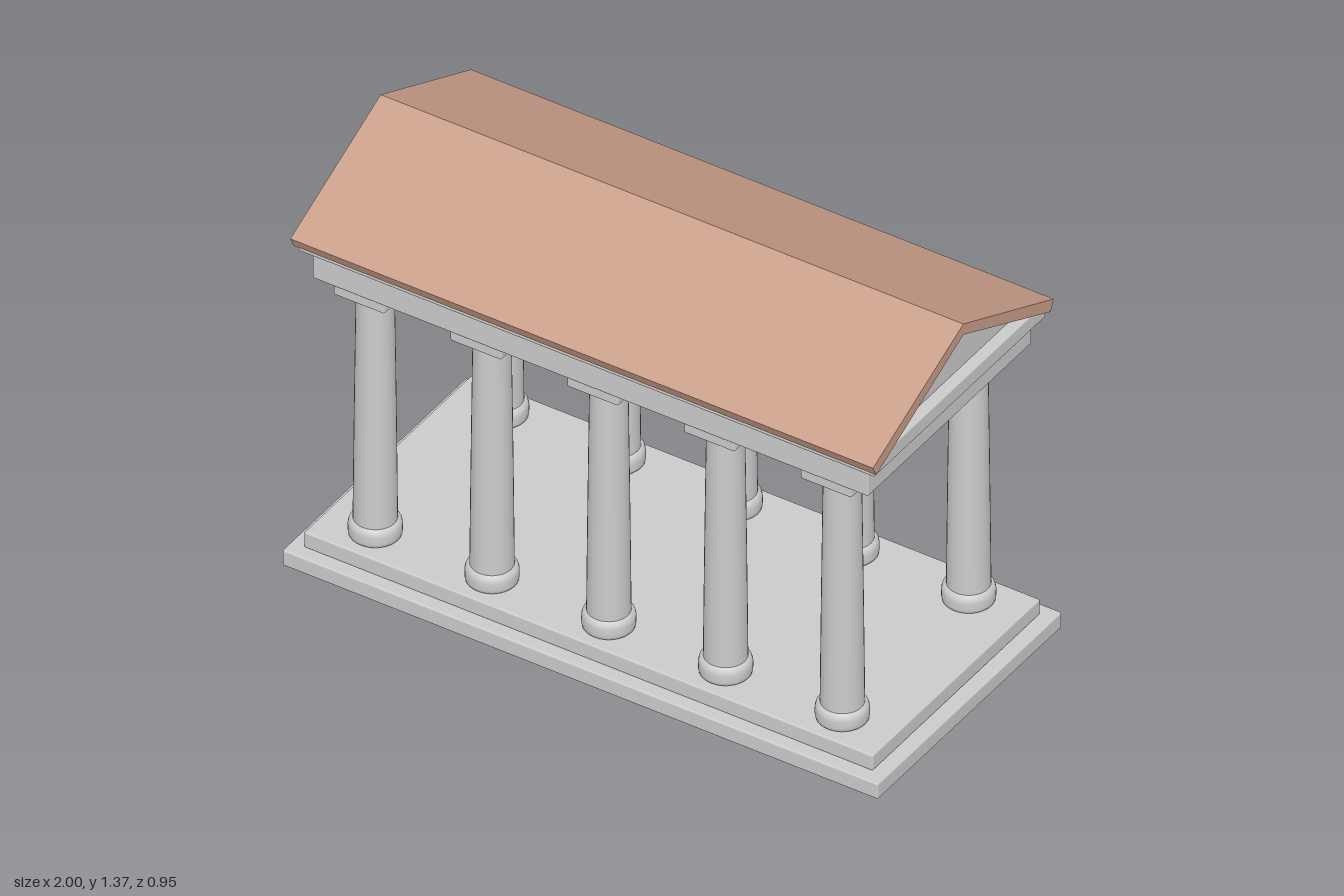
import * as THREE from 'three';
import { RoundedBoxGeometry } from 'three/addons/geometries/RoundedBoxGeometry.js';

const stone = new THREE.MeshStandardMaterial({ color: 0xcccccc });
const tile = new THREE.MeshStandardMaterial({ color: 0xc99e88 });

function add(parent, name, geometry, material = stone) {
  const mesh = new THREE.Mesh(geometry, material);
  mesh.name = name;
  parent.add(mesh);
  return mesh;
}

// Softly edged block from y0 to y1, with half sizes in x and z
function block(parent, name, hx, hz, y0, y1) {
  const geometry = new RoundedBoxGeometry(hx * 2, y1 - y0, hz * 2, 2, 0.006);
  add(parent, name, geometry).position.y = (y0 + y1) / 2;
}

// Cross-section in (z, y), extruded along x and centred
function gableSolid(points, length) {
  const shape = new THREE.Shape(points.map(([z, y]) => new THREE.Vector2(z, y)));
  const geometry = new THREE.ExtrudeGeometry(shape, { depth: length, bevelEnabled: false });
  return geometry.translate(0, 0, -length / 2).rotateY(Math.PI / 2);
}

function createColumn() {
  const column = new THREE.Group();
  column.name = 'column';

  // Round cushion base
  const r = 0.078, y0 = 0.108, y1 = 0.169;
  const cushion = [[0, y0], [r - 0.008, y0], [r - 0.002, y0 + 0.006], [r, y0 + 0.016], [r, y1 - 0.022],
    [r - 0.003, y1 - 0.01], [r - 0.01, y1 - 0.002], [r - 0.016, y1], [0, y1]];
  add(column, 'columnBase', new THREE.LatheGeometry(cushion.map(p => new THREE.Vector2(...p)), 32));

  // Shaft with a gentle taper
  const shaft = [];
  for (let i = 0; i <= 8; i++) {
    const t = i / 8;
    shaft.push(new THREE.Vector2(0.064 - 0.007 * t - 0.002 * t * t, 0.165 + 0.81 * t));
  }
  add(column, 'columnShaft', new THREE.LatheGeometry(shaft, 32));

  // Square capital
  block(column, 'capital', 0.086, 0.086, 0.973, 1.014);
  return column;
}

export function createModel() {
  const temple = new THREE.Group();
  temple.name = 'temple';

  // Stepped platform
  block(temple, 'lowerStep', 1, 0.477, 0, 0.055);
  block(temple, 'upperStep', 0.955, 0.434, 0.055, 0.11);

  // Two rows of five columns
  const column = createColumn();
  for (const z of [-0.327, 0.327]) {
    for (let i = -2; i <= 2; i++) {
      const copy = column.clone();
      copy.position.set(i * 0.392, 0, z);
      temple.add(copy);
    }
  }

  // Beam and cornice
  block(temple, 'beam', 0.933, 0.424, 1.012, 1.108);
  block(temple, 'cornice', 0.967, 0.445, 1.108, 1.161);

  // Gable filling under the roof
  add(temple, 'pediment', gableSolid([[-0.385, 1.158], [0.385, 1.158], [0, 1.337]], 1.86));

  // Tiled pitched roof
  const roof = [[-0.468, 1.161], [-0.451, 1.126], [0, 1.334], [0.451, 1.126], [0.468, 1.161], [0, 1.372]];
  add(temple, 'roof', gableSolid(roof, 1.956), tile);

  return temple;
}
